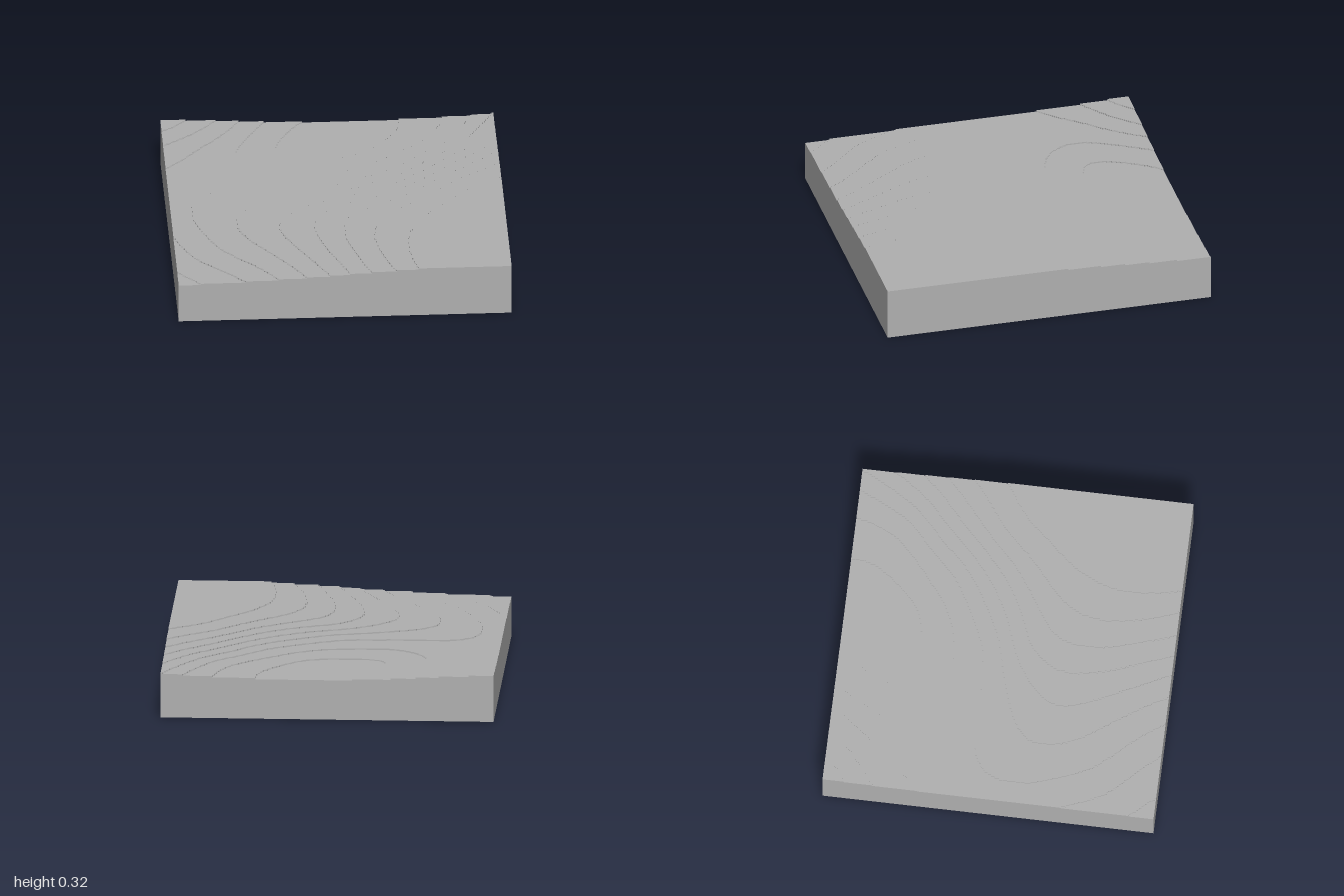
import * as THREE from 'three';

const BASE = 0.235;   // top of the plain block under the terraces
const TOP = 0.318;    // highest terrace
const STEP = 0.0082;  // height of one terrace
const N = 200;        // cells per side

// Contour points: for each step count below the top, x, z pairs on its line
const CONTOURS = [
  [0.2, [1, 1]],
  [1, [0.44, 1, 0.4, 0.74, 0.45, 0.46, 0.68, 0.15, 1, -0.12]],
  [2, [0.31, 1, 0.21, 0.65, 0.4, 0.2, 0.7, -0.09, 1, -0.32]],
  [3, [0.16, 1, 0.03, 0.55, 0.4, 0.05, 1, -0.48]],
  [4, [0.03, 1, -0.14, 0.48, 0, 0.14, 0.4, -0.06, 1, -0.63]],
  [4.2, [-1, -1]],
  [5, [-0.09, 1, -0.36, 0.36, 0, 0.03, 0.7, -0.45, 1, -0.8, -0.845, -1, -1, -0.87]],
  [6, [-0.23, 1, -0.47, 0.62, -0.6, 0.2, 0, -0.05, 0.4, -0.27, 0.99, -1, -0.67, -1, -1, -0.7]],
  [7, [-0.4, 1, -0.71, 0.62, -0.86, 0.27, -0.76, -0.09, -0.43, -0.12, -0.07, -0.14, 0.39, -0.37,
    0.69, -0.66, 0.87, -1, -0.53, -1, -0.8, -0.65, -1, -0.43]],
  [7.4, [-0.72, -0.35]],
  [8, [-0.6, 1, -0.87, 0.71, -1, 0.43, -0.375, -1, -0.54, -0.45, -0.11, -0.32, 0.31, -0.49, 0.69, -1]],
  [9, [-0.86, 1, -1, 0.84, -0.15, -1, -0.32, -0.57, -0.03, -0.52, 0.18, -0.58, 0.43, -1]],
  [9.4, [-1, 1, 0.13, -0.9]],
];

// Smooth thin-plate surface through all contour points
function fitSurface() {
  const pts = [];
  for (const [f, xz] of CONTOURS) {
    for (let i = 0; i < xz.length; i += 2) pts.push([xz[i], xz[i + 1], f]);
  }
  const n = pts.length, size = n + 3;
  const kernel = (dx, dz) => {
    const r2 = dx * dx + dz * dz;
    return r2 > 0 ? 0.5 * r2 * Math.log(r2) : 0;
  };
  const m = Array.from({ length: size }, () => new Array(size + 1).fill(0));
  pts.forEach(([x, z, f], i) => {
    pts.forEach((q, j) => { m[i][j] = kernel(x - q[0], z - q[1]); });
    m[i][i] += 0.003;
    [1, x, z].forEach((v, k) => { m[i][n + k] = v; m[n + k][i] = v; });
    m[i][size] = f;
  });
  // Gauss-Jordan elimination with pivoting
  for (let c = 0; c < size; c++) {
    let p = c;
    for (let r = c + 1; r < size; r++) if (Math.abs(m[r][c]) > Math.abs(m[p][c])) p = r;
    [m[c], m[p]] = [m[p], m[c]];
    for (let r = 0; r < size; r++) {
      if (r === c) continue;
      const k = m[r][c] / m[c][c];
      if (k) for (let j = c; j <= size; j++) m[r][j] -= k * m[c][j];
    }
  }
  const w = m.map((row, i) => row[size] / row[i]);
  return (x, z) => {
    let f = w[n] + w[n + 1] * x + w[n + 2] * z;
    for (let i = 0; i < n; i++) f += w[i] * kernel(x - pts[i][0], z - pts[i][1]);
    return f;
  };
}

// Stepped relief made of flat treads and upright risers
function terraceGeometry() {
  const surface = fitSurface();
  const at = (i) => -1 + (2 * i) / N;
  const levels = [];
  for (let j = 0; j < N; j++) {
    for (let i = 0; i < N; i++) {
      const f = surface(at(i + 0.5), at(j + 0.5));
      levels.push(TOP - STEP * Math.min(9, Math.max(0, Math.floor(f))));
    }
  }
  const height = (i, j) => (i < 0 || j < 0 || i >= N || j >= N ? BASE : levels[j * N + i]);

  const pos = [];
  const quad = (a, b, c, d) => pos.push(...a, ...b, ...c, ...a, ...c, ...d);

  // Treads, one strip per run of equal height
  for (let j = 0; j < N; j++) {
    for (let i = 0; i < N;) {
      const h = height(i, j);
      let e = i + 1;
      while (e < N && height(e, j) === h) e++;
      const x0 = at(i), x1 = at(e), z0 = at(j), z1 = at(j + 1);
      quad([x0, h, z1], [x1, h, z1], [x1, h, z0], [x0, h, z0]);
      i = e;
    }
  }

  // Risers between neighbouring cells, facing the lower one
  for (let a = 0; a <= N; a++) {
    for (let b = 0; b < N; b++) {
      const p = at(a), s = at(b), t = at(b + 1);
      const xl = height(a - 1, b), xr = height(a, b);
      if (xl > xr) quad([p, xr, t], [p, xr, s], [p, xl, s], [p, xl, t]);
      if (xr > xl) quad([p, xl, s], [p, xl, t], [p, xr, t], [p, xr, s]);
      const zb = height(b, a - 1), zf = height(b, a);
      if (zb > zf) quad([s, zf, p], [t, zf, p], [t, zb, p], [s, zb, p]);
      if (zf > zb) quad([t, zb, p], [s, zb, p], [s, zf, p], [t, zf, p]);
    }
  }

  const geometry = new THREE.BufferGeometry();
  geometry.setAttribute('position', new THREE.Float32BufferAttribute(pos, 3));
  geometry.computeVertexNormals();
  return geometry;
}

export function createModel() {
  const model = new THREE.Group();
  model.name = 'terracedTerrain';
  const grey = new THREE.MeshStandardMaterial({ color: 0xb0b0b0 });
  grey.name = 'grey';

  // Plain square block
  const base = new THREE.Mesh(new THREE.BoxGeometry(2, BASE, 2), grey);
  base.name = 'baseBlock';
  base.position.y = BASE / 2;

  // Contoured ground on top
  const terraces = new THREE.Mesh(terraceGeometry(), grey);
  terraces.name = 'terraces';

  model.add(base, terraces);
  return model;
}
